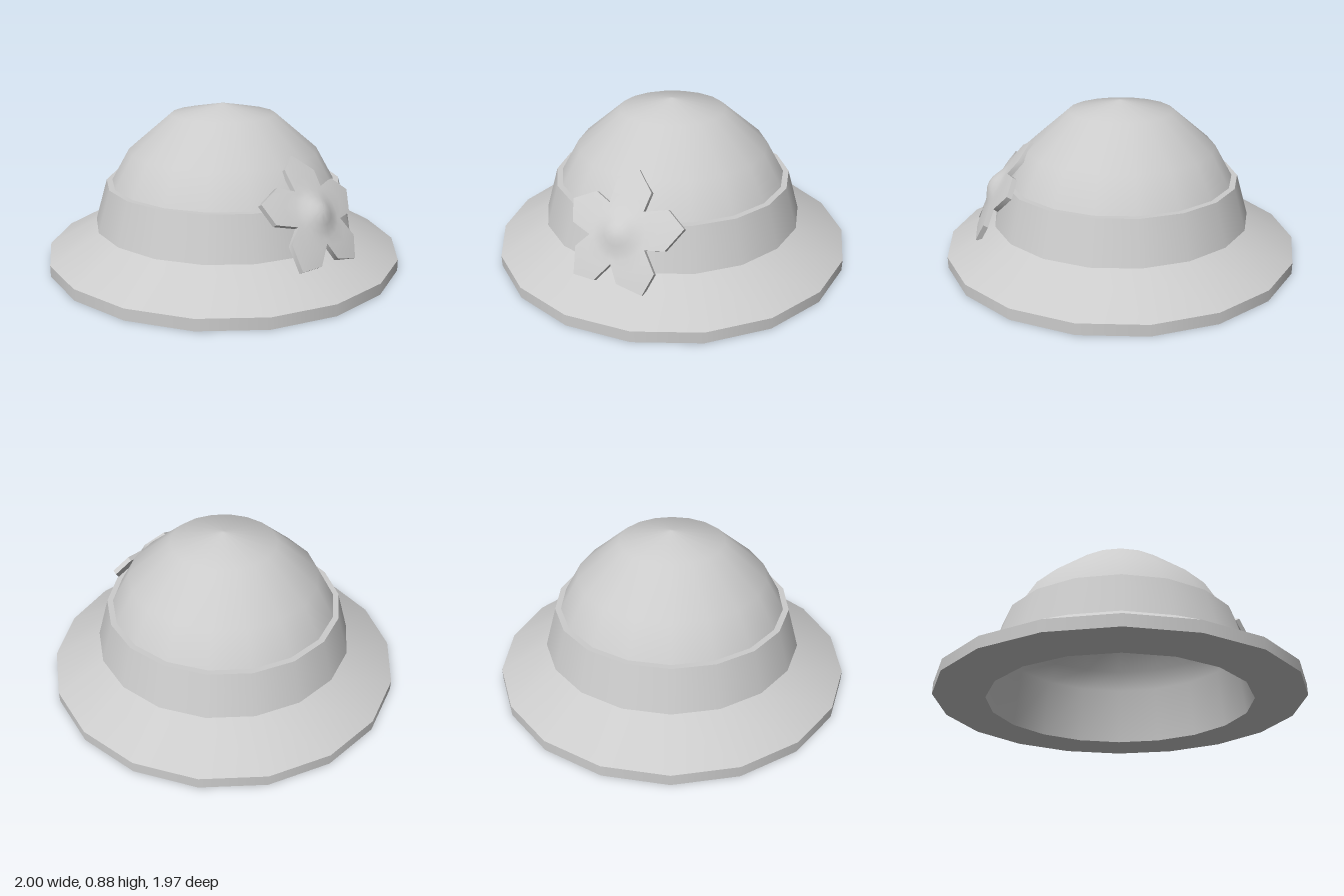
import * as THREE from 'three';
import { toCreasedNormals } from 'three/addons/utils/BufferGeometryUtils.js';

const SIDES = 18;
const material = new THREE.MeshStandardMaterial({ color: 0xcccccc, side: THREE.DoubleSide });

// One ring of the hat, turned from [radius, height] pairs
function turned(name, profile) {
  const points = profile.map(([r, y]) => new THREE.Vector2(r, y));
  const mesh = new THREE.Mesh(new THREE.LatheGeometry(points, SIDES, Math.PI / 2), material);
  mesh.name = name;
  return mesh;
}

// Five-petalled flower facing +z, with a domed heart
function flowerGeometry() {
  const petal = [[-24, 0.25], [0, 0.325], [21, 0.27], [36, 0.16]]; // angle, radius
  const outline = [];
  for (let i = 0; i < 5; i++) {
    for (const [angle, r] of petal) {
      outline.push([THREE.MathUtils.degToRad(90 + i * 72 + angle), r]);
    }
  }
  const heart = 0.14;
  const lift = (r) => {
    const bump = Math.cos(Math.min(r / heart, 1) * Math.PI / 2) ** 2;
    return 0.015 + 0.04 * (1 - (r / 0.325) ** 2) + 0.04 * bump;
  };
  // Round rings in the heart, then rings that spread out to the petal outline
  const steps = [0.01, 0.25, 0.5, 0.75, 1, 1.35, 1.7, 2];
  const radius = (t, r) => (t <= 1 ? heart * t : heart + (r - heart) * (t - 1));
  // Run outward over the face, then back inward underneath
  const rings = [
    ...steps.map((t) => [t, 0]),
    ...steps.slice().reverse().map((t) => [t, -0.028]),
  ];
  const n = outline.length;
  const positions = [];
  const index = [];
  rings.forEach(([t, drop], k) => {
    outline.forEach(([a, edge], i) => {
      const r = radius(t, edge);
      positions.push(Math.cos(a) * r, Math.sin(a) * r, lift(r) + drop);
      if (k === 0) return;
      const j = (i + 1) % n;
      const p = (k - 1) * n;
      const q = k * n;
      index.push(p + i, q + i, q + j, p + i, q + j, p + j);
    });
  });
  const geometry = new THREE.BufferGeometry();
  geometry.setAttribute('position', new THREE.Float32BufferAttribute(positions, 3));
  geometry.setIndex(index);
  return toCreasedNormals(geometry, 0.9);
}

export function createModel() {
  const hat = new THREE.Group();
  hat.name = 'hat';

  // Brim
  const brim = new THREE.Group();
  brim.name = 'brim';
  brim.add(
    turned('brimUnderside', [[0.725, 0], [1, 0]]),
    turned('brimEdge', [[1, 0], [1, 0.062]]),
    turned('brimTop', [[1, 0.062], [0.73, 0.21]]),
  );

  // Band around the crown
  const band = new THREE.Group();
  band.name = 'band';
  band.add(
    turned('bandSide', [[0.73, 0.21], [0.662, 0.443]]),
    turned('bandLedge', [[0.662, 0.443], [0.63, 0.443]]),
  );

  // Hollow crown, open below and running down inside the band
  const crown = turned('crown', [
    [0.725, 0], [0.69, 0.335], [0.63, 0.443], [0.53, 0.62], [0.292, 0.82], [0.01, 0.876], [0, 0.876],
  ]);

  // Flower, leaning back against the band
  const flower = new THREE.Mesh(flowerGeometry(), material);
  flower.name = 'flower';
  const out = new THREE.Vector3(0.724, 0.536, 0.433).normalize();
  const up = new THREE.Vector3(-0.409, 0.851, -0.328).projectOnPlane(out).normalize();
  const side = new THREE.Vector3().crossVectors(up, out);
  flower.quaternion.setFromRotationMatrix(new THREE.Matrix4().makeBasis(side, up, out));
  flower.position.set(0.572, 0.38, 0.336);

  hat.add(brim, band, crown, flower);
  return hat;
}
